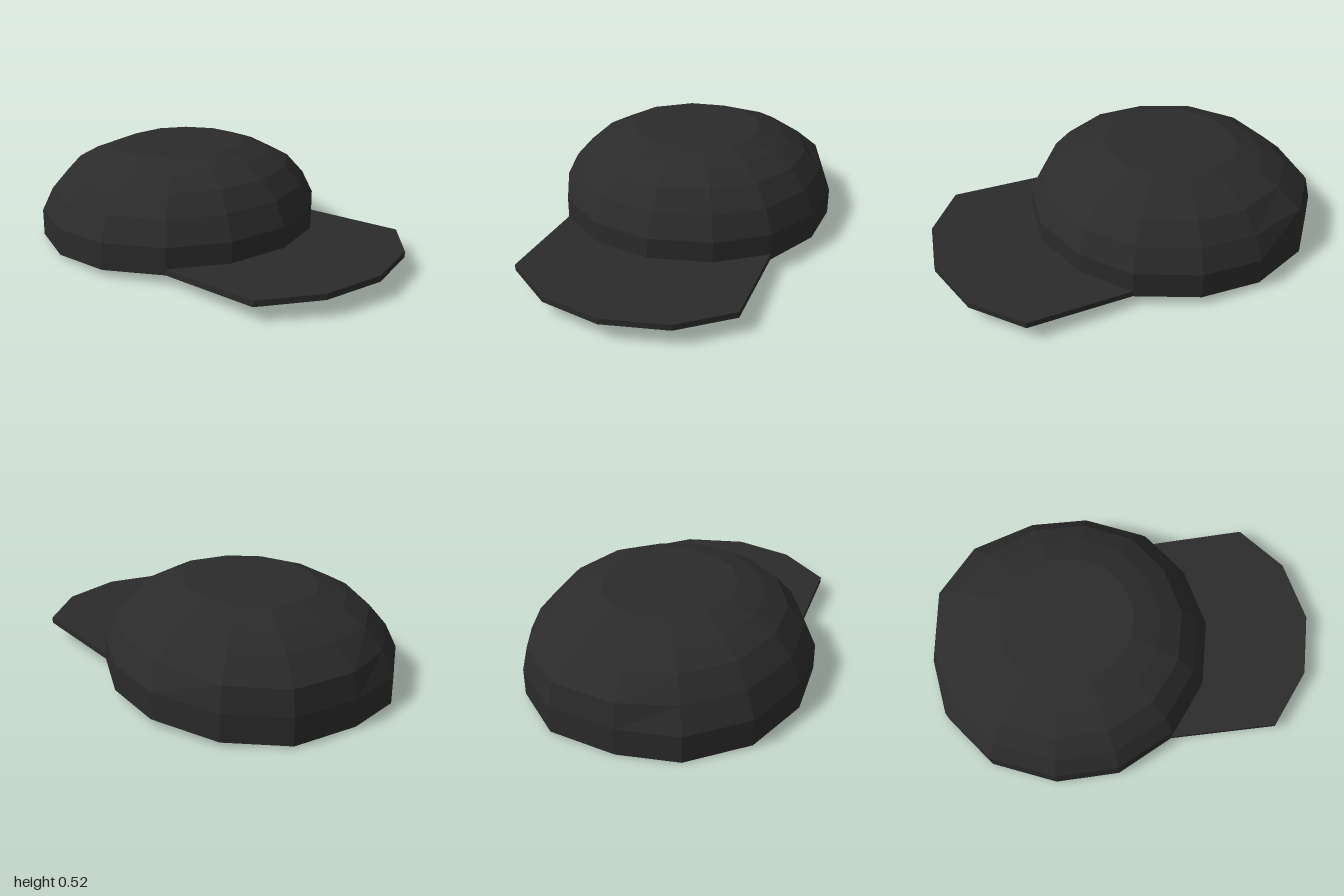
import * as THREE from 'three';

// Rim of the crown as [x, z], from the back round by the left side to the front
const RIM = [
  [-0.03, -1.0], [0.27, -0.89], [0.51, -0.63], [0.61, -0.33], [0.59, 0.0], [0.43, 0.25], [0.17, 0.43],
  [-0.14, 0.48], [-0.44, 0.39], [-0.68, 0.17], [-0.8, -0.13], [-0.79, -0.48], [-0.62, -0.77], [-0.36, -0.92],
];
const CENTRE = [-0.09, -0.245];

// Outer edge of the brim, between two corners of the rim
const BRIM_EDGE = [[-0.25, 0.9], [0.06, 0.995], [0.37, 0.95], [0.64, 0.77], [0.79, 0.5]];
const BRIM_THICKNESS = 0.03;

// Crown rings as [scale of rim, height]
const RINGS = [[1, 0], [1, 0.138], [0.92, 0.258], [0.8, 0.358], [0.65, 0.417], [0.462, 0.467]];

// The whole cap leans slightly back: shear the heights along x and z
function tilt(geometry) {
  const p = geometry.attributes.position;
  for (let i = 0; i < p.count; i++) {
    p.setY(i, p.getY(i) + 0.05 + 0.025 * p.getX(i) + 0.038 * p.getZ(i));
  }
  geometry.computeVertexNormals();
  return geometry;
}

function crownGeometry() {
  const n = RIM.length;
  const positions = [];
  const index = [];
  RINGS.forEach(([scale, height], r) => {
    RIM.forEach(([x, z], i) => {
      // the back panel stays steeper than the rest of the crown
      const atBack = r === 2 && (i <= 1 || i === n - 1);
      const s = atBack ? 0.962 : scale;
      positions.push(CENTRE[0] + (x - CENTRE[0]) * s, height, CENTRE[1] + (z - CENTRE[1]) * s);
    });
  });
  for (let r = 0; r < RINGS.length - 1; r++) {
    for (let i = 0; i < n; i++) {
      const a = r * n + i;
      const b = r * n + (i + 1) % n;
      index.push(a, a + n, b, b, a + n, b + n);
    }
  }
  // flat top and closed underside
  const top = positions.length / 3;
  positions.push(CENTRE[0], RINGS.at(-1)[1], CENTRE[1], CENTRE[0], 0, CENTRE[1]);
  const last = (RINGS.length - 1) * n;
  for (let i = 0; i < n; i++) {
    const j = (i + 1) % n;
    index.push(last + i, top, last + j);
    index.push(i, j, top + 1);
  }
  const geometry = new THREE.BufferGeometry();
  geometry.setAttribute('position', new THREE.Float32BufferAttribute(positions, 3));
  geometry.setIndex(index);
  return tilt(geometry.toNonIndexed());
}

function brimGeometry() {
  const outline = [...RIM.slice(4, 9), ...BRIM_EDGE];
  const shape = new THREE.Shape(outline.map(([x, z]) => new THREE.Vector2(x, -z)));
  const geometry = new THREE.ExtrudeGeometry(shape, { depth: BRIM_THICKNESS, bevelEnabled: false });
  return tilt(geometry.rotateX(-Math.PI / 2));
}

export function createModel() {
  const cap = new THREE.Group();
  cap.name = 'cap';
  const cloth = new THREE.MeshStandardMaterial({ color: 0x2b2b2b, flatShading: true });

  const crown = new THREE.Mesh(crownGeometry(), cloth);
  crown.name = 'crown';
  const brim = new THREE.Mesh(brimGeometry(), cloth);
  brim.name = 'brim';

  cap.add(crown, brim);
  return cap;
}
